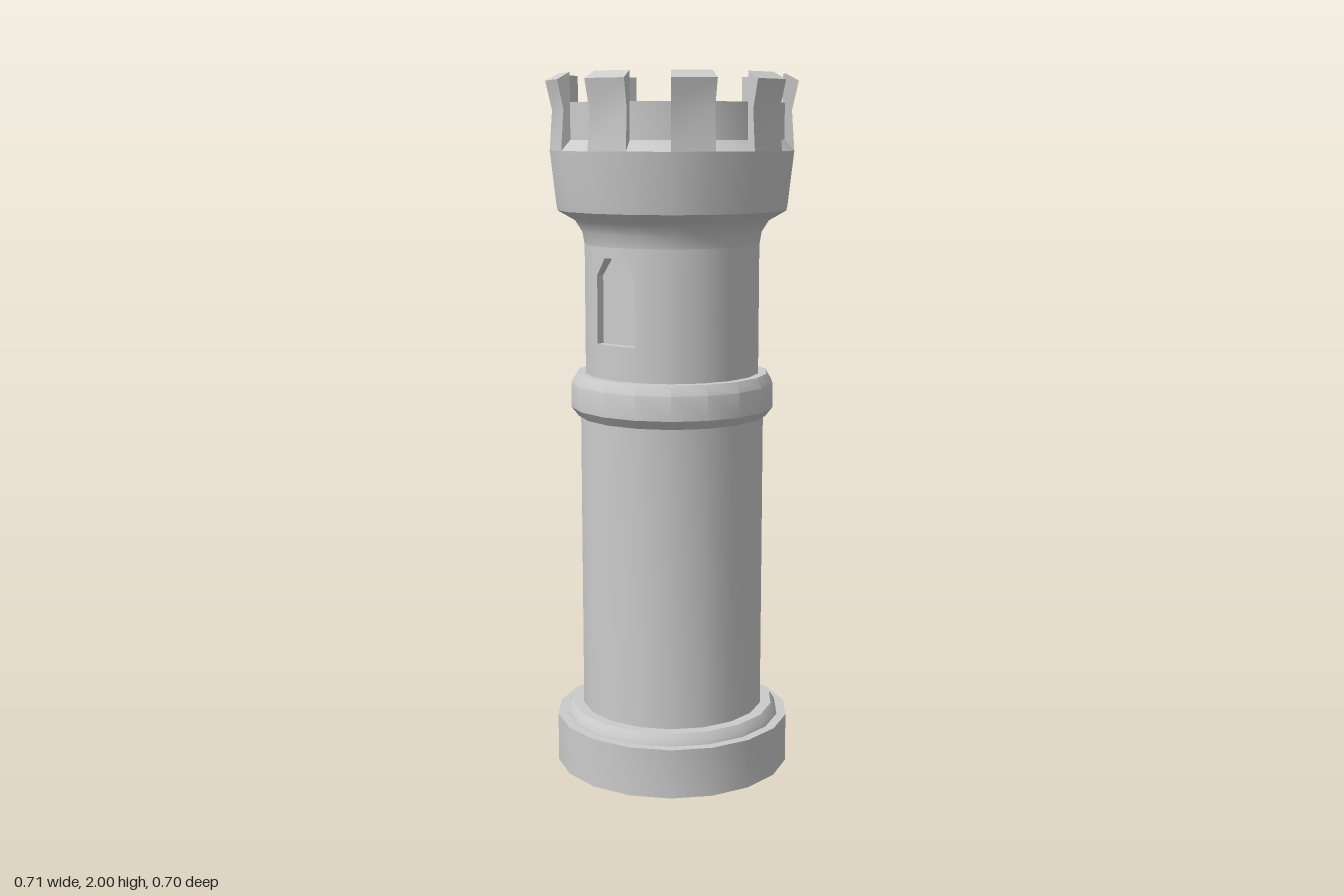
import * as THREE from 'three';
import { toCreasedNormals } from 'three/addons/utils/BufferGeometryUtils.js';

const SIDES = 18;
const STEP = (Math.PI * 2) / SIDES;
const R = 0.25; // upper shaft radius
const material = new THREE.MeshStandardMaterial({ color: 0xcccccc });

const toPoints = (list) => list.map(([x, y]) => new THREE.Vector2(x, y));

function named(name, geometry) {
  const mesh = new THREE.Mesh(geometry, material);
  mesh.name = name;
  return mesh;
}

// Eighteen-sided turned part with a corner on the x axis
function turned(name, profile) {
  const geometry = new THREE.LatheGeometry(toPoints(profile), SIDES, Math.PI / 2);
  return named(name, toCreasedNormals(geometry, 0.55));
}

// One battlement block: its cross-section swept over a single side
function merlonGeometry() {
  const section = new THREE.Shape(toPoints([
    [0.317, 1.82], [0.345, 1.79], [0.337, 1.9], [0.355, 1.98], [0.317, 2],
  ]));
  const geometry = new THREE.ExtrudeGeometry(section, { depth: 1, bevelEnabled: false });
  const p = geometry.attributes.position;
  for (let i = 0; i < p.count; i++) {
    const r = p.getX(i), a = p.getZ(i) * STEP;
    p.setXYZ(i, r * Math.cos(a), p.getY(i), r * Math.sin(a));
  }
  return toCreasedNormals(geometry, 0.55);
}

// Half of the wall around the window, filling one side of the shaft
function windowWall(s) {
  const width = 2 * R * Math.sin(STEP / 2);
  const outline = [
    [0, 1.15], [width, 1.15], [width, 1.53], [0, 1.53],
    [0, 1.5], [0.036, 1.5], [0.071, 1.45], [0.071, 1.26], [0, 1.26],
  ].map(([u, y]) => [u * s, y]);
  const geometry = new THREE.ExtrudeGeometry(new THREE.Shape(toPoints(outline)), { depth: 0.03, bevelEnabled: false });
  geometry.translate(0, 0, -0.03);
  const turn = s * STEP / 2 - Math.PI / 2;
  geometry.rotateY(turn);
  geometry.translate(-R, 0, 0);
  // Round the shading of the outer face to match the shaft
  const facing = new THREE.Vector3(Math.sin(turn), 0, Math.cos(turn));
  const p = geometry.attributes.position, n = geometry.attributes.normal;
  const v = new THREE.Vector3();
  for (let i = 0; i < p.count; i++) {
    if (v.fromBufferAttribute(n, i).dot(facing) < 0.9) continue;
    v.set(p.getX(i), 0, p.getZ(i)).normalize();
    n.setXYZ(i, v.x, v.y, v.z);
  }
  return named('windowWall', geometry);
}

export function createModel() {
  const tower = new THREE.Group();
  tower.name = 'tower';

  // Foot with its stepped top
  tower.add(turned('base', [
    [0, 0], [0.342, 0], [0.342, 0.143], [0.315, 0.143], [0.312, 0.155], [0.297, 0.175], [0.26, 0.175],
  ]));

  // Lower shaft
  tower.add(turned('lowerShaft', [[0.265, 0.17], [0.265, 1.05]]));

  // Band between the two shafts
  tower.add(turned('middleRing', [
    [0.26, 1.04], [0.272, 1.04], [0.292, 1.066], [0.292, 1.135], [0.275, 1.163], [0.245, 1.163],
  ]));

  // Upper shaft, left open over two sides for the window
  tower.add(named('upperShaft', new THREE.LatheGeometry(
    toPoints([[R, 1.15], [R, 1.53]]), SIDES - 2, Math.PI * 1.5 + STEP, STEP * (SIDES - 2),
  )));

  // Recessed window on the right side
  const windowGroup = new THREE.Group();
  windowGroup.name = 'window';
  windowGroup.add(windowWall(1), windowWall(-1));
  const panel = named('windowPanel', new THREE.PlaneGeometry(0.16, 0.28));
  panel.rotation.y = -Math.PI / 2;
  panel.position.set(-0.217, 1.38, 0);
  windowGroup.add(panel);
  tower.add(windowGroup);

  // Flared crown with the walkway and sunken floor
  tower.add(turned('crown', [
    [R, 1.53], [0.256, 1.565], [0.276, 1.597], [0.325, 1.625], [0.328, 1.64], [0.345, 1.79],
    [0.317, 1.82], [0.317, 1.92], [0.263, 1.9], [0.247, 1.85], [0, 1.85],
  ]));

  // Battlements on every second side
  const battlements = new THREE.Group();
  battlements.name = 'battlements';
  const block = merlonGeometry();
  for (let i = 0; i < SIDES / 2; i++) {
    const merlon = named('merlon', block);
    merlon.rotation.y = -i * 2 * STEP;
    battlements.add(merlon);
  }
  tower.add(battlements);

  return tower;
}
